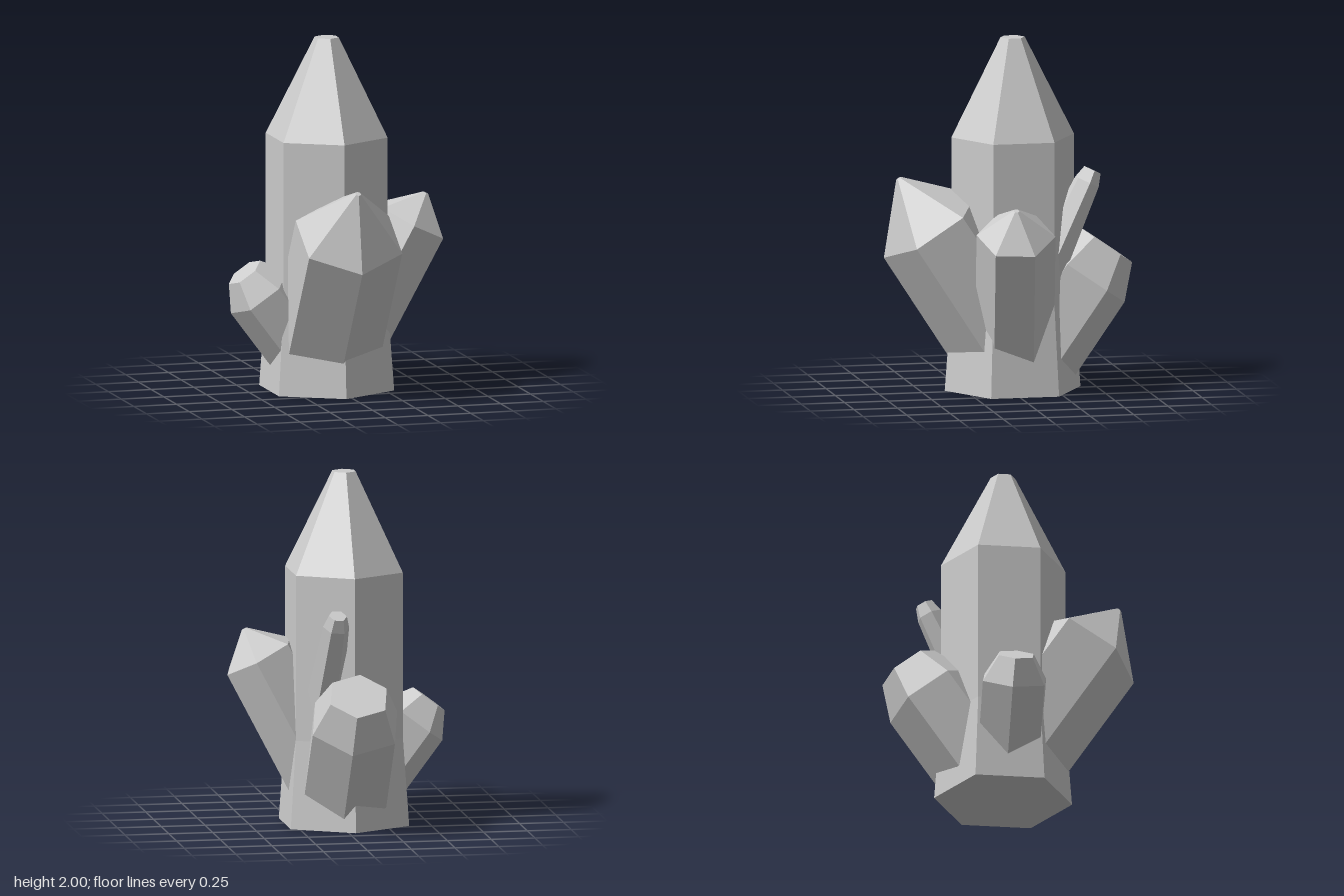
import * as THREE from 'three';

const material = new THREE.MeshStandardMaterial({ color: 0xcccccc, flatShading: true });

// Six-sided crystal from [radius, height] rings, closed at both ends.
function prism(name, rings) {
  const first = rings[0], last = rings[rings.length - 1];
  const profile = [[0, first[1]], ...rings, [0, last[1]]].map(([r, y]) => new THREE.Vector2(r, y));
  const mesh = new THREE.Mesh(new THREE.LatheGeometry(profile, 6), material);
  mesh.name = name;
  return mesh;
}

// Leaning crystal: `shoulder` is the centre of the ring where the tip begins,
// `axis` the growth direction and `corner` the direction of one ring corner.
function shard({ name, shoulder, axis, corner, radius, rootRadius = radius, depth, tipRadius, tipLength }) {
  const mesh = prism(name, [[rootRadius, -depth], [radius, 0], [tipRadius, tipLength]]);
  const up = new THREE.Vector3(...axis).normalize();
  const side = new THREE.Vector3().crossVectors(up, new THREE.Vector3(...corner)).normalize();
  const out = new THREE.Vector3().crossVectors(side, up);
  mesh.quaternion.setFromRotationMatrix(new THREE.Matrix4().makeBasis(side, up, out));
  mesh.position.set(...shoulder);
  return mesh;
}

const shards = [
  { name: 'frontCrystal', shoulder: [-0.048, 0.938, 0.447], axis: [0, 0.84, 0.545], corner: [0, -0.545, 0.84],
    radius: 0.315, depth: 0.78, tipRadius: 0.017, tipLength: 0.33 },
  { name: 'leftCrystal', shoulder: [0.435, 0.945, 0.055], axis: [0.457, 0.886, 0.086], corner: [-0.05, 0, 0.215],
    radius: 0.222, depth: 0.78, tipRadius: 0.017, tipLength: 0.175 },
  { name: 'rightCrystal', shoulder: [-0.438, 0.569, -0.008], axis: [-0.6, 0.8, 0], corner: [-0.79, -0.59, -0.14],
    radius: 0.2, depth: 0.5, tipRadius: 0.11, tipLength: 0.145 },
  { name: 'backCrystal', shoulder: [-0.028, 0.63, -0.44], axis: [0, 0.82, -0.57], corner: [0.19, -0.56, -0.805],
    radius: 0.268, depth: 0.5, tipRadius: 0.178, tipLength: 0.21 },
  { name: 'smallBackCrystal', shoulder: [0.078, 1.18, -0.428], axis: [-0.06, 0.895, -0.44], corner: [1, 0, 0],
    radius: 0.075, rootRadius: 0.115, depth: 0.65, tipRadius: 0.052, tipLength: 0.075 },
];

export function createModel() {
  const group = new THREE.Group();
  group.name = 'crystalCluster';

  // Tall central crystal with a flared foot and a blunt tip
  const main = prism('mainCrystal', [[0.39, 0], [0.352, 0.5], [0.352, 1.44], [0.07, 2]]);
  main.position.set(-0.038, 0, -0.026);
  group.add(main);

  // Smaller crystals growing out of it
  for (const spec of shards) group.add(shard(spec));
  return group;
}
